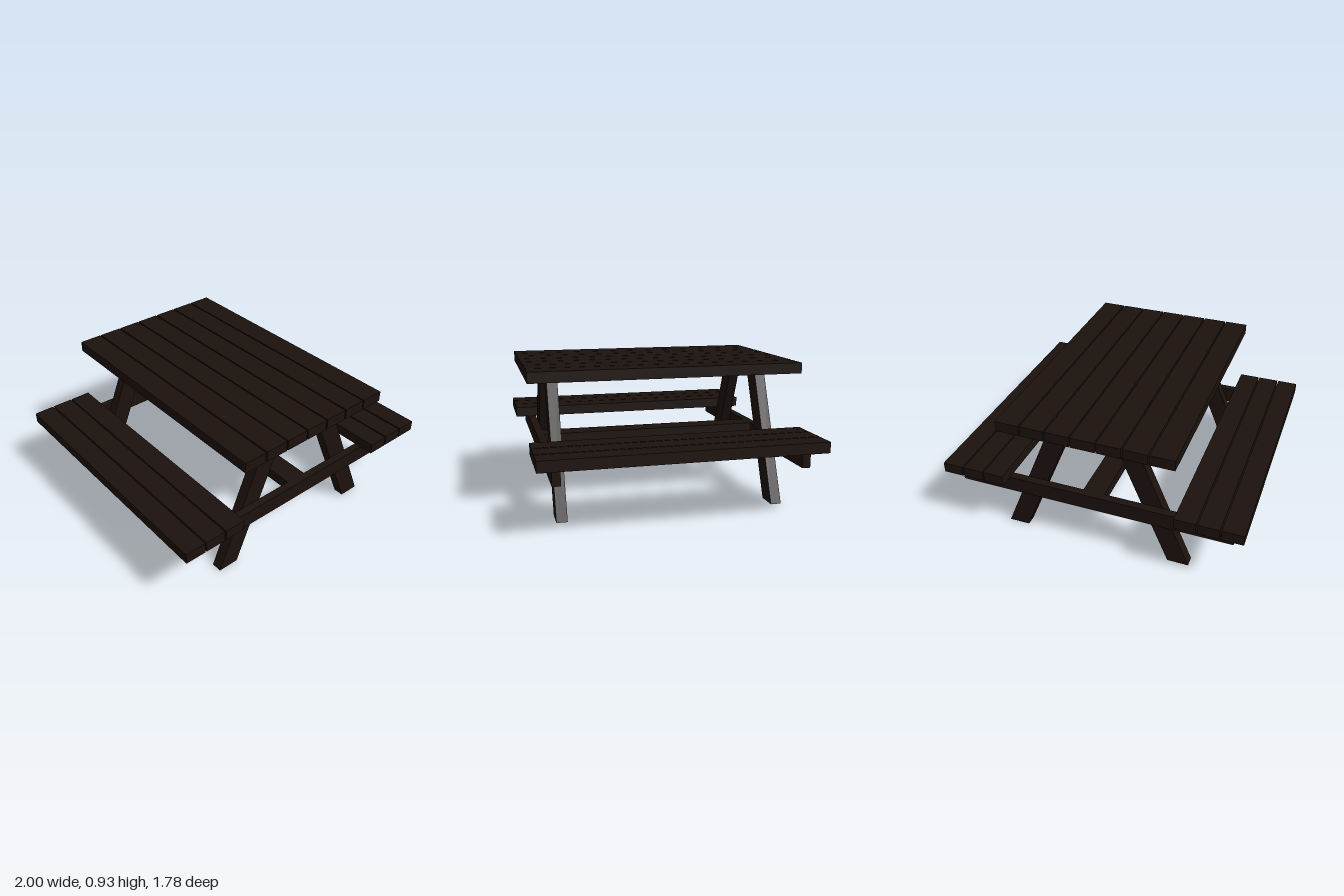
import * as THREE from 'three';

const wood = new THREE.MeshStandardMaterial({ color: 0x1c120e });

function addBox(parent, name, size, position) {
  const mesh = new THREE.Mesh(new THREE.BoxGeometry(...size), wood);
  mesh.name = name;
  mesh.position.set(...position);
  parent.add(mesh);
}

// A row of equal boards running along z, from x0 to x1
function addPlanks(parent, name, count, x0, x1, y, gap = 0.009) {
  const row = new THREE.Group();
  row.name = name;
  const width = (x1 - x0 - gap * (count - 1)) / count;
  for (let i = 0; i < count; i++) {
    const x = x0 + width / 2 + i * (width + gap);
    addBox(row, name + 'Plank', [width, 0.07, 1.78], [x, y, 0]);
  }
  parent.add(row);
}

// Slanted leg: a parallelogram with level ends, extruded along z
function addLeg(parent, side, z) {
  const shape = new THREE.Shape([
    [0.5, 0], [0.64, 0], [0.28, 0.86], [0.14, 0.86],
  ].map(([x, y]) => new THREE.Vector2(side * x, y)));
  const geometry = new THREE.ExtrudeGeometry(shape, { depth: 0.07, bevelEnabled: false });
  geometry.translate(0, 0, z - 0.035);
  const mesh = new THREE.Mesh(geometry, wood);
  mesh.name = side > 0 ? 'leftLeg' : 'rightLeg';
  parent.add(mesh);
}

export function createModel() {
  const table = new THREE.Group();
  table.name = 'picnicTable';

  // Table top and the two benches
  addPlanks(table, 'tableTop', 7, -0.57, 0.57, 0.895);
  addPlanks(table, 'leftBench', 3, 0.57, 1, 0.465);
  addPlanks(table, 'rightBench', 3, -1, -0.57, 0.465);

  // End frames: a pair of legs with a crossbar on the outer face
  for (const end of [1, -1]) {
    const frame = new THREE.Group();
    frame.name = end > 0 ? 'frontFrame' : 'backFrame';
    for (const side of [1, -1]) addLeg(frame, side, end * 0.712);
    addBox(frame, 'crossbar', [1.85, 0.107, 0.052], [0, 0.377, end * 0.773]);
    table.add(frame);
  }

  // Flat board joining the two crossbars
  addBox(table, 'stretcher', [0.145, 0.07, 1.494], [0, 0.395, 0]);

  return table;
}
